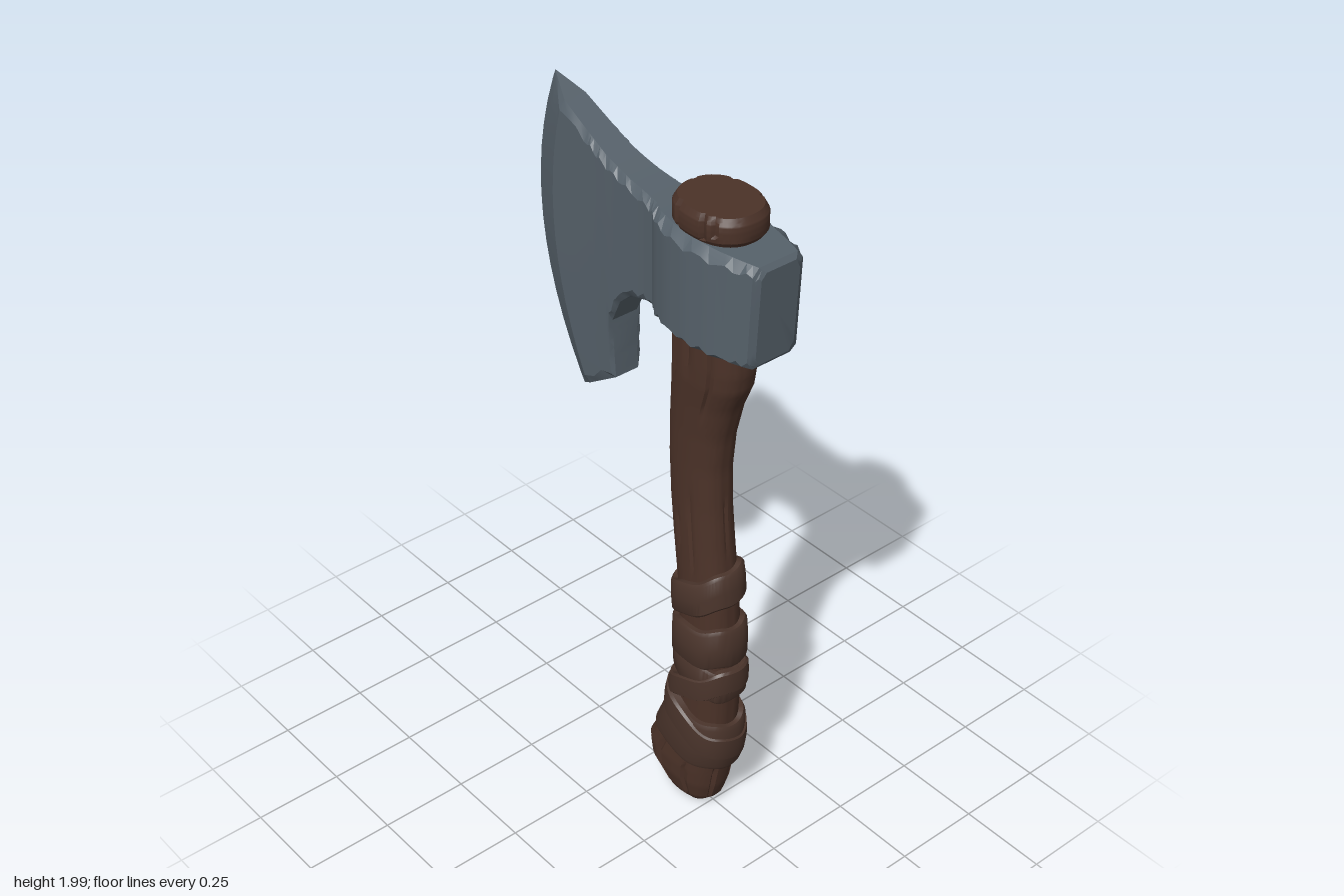
import * as THREE from 'three';
import { toCreasedNormals } from 'three/addons/utils/BufferGeometryUtils.js';

const metal = new THREE.MeshStandardMaterial({ color: 0x56616a });
metal.name = 'dark steel';
const wood = new THREE.MeshStandardMaterial({ color: 0x4b3228 });
wood.name = 'brown wood';
const leather = new THREE.MeshStandardMaterial({ color: 0x4a342b });
leather.name = 'brown leather';

const lerp = THREE.MathUtils.lerp;

// Skin a list of closed rings, optionally closing both ends with a fan
function loft(rings, crease, capped = true) {
  const n = rings[0].length, pos = [], index = [];
  rings.forEach(r => r.forEach(p => pos.push(...p)));
  for (let i = 0; i < rings.length - 1; i++) {
    for (let j = 0; j < n; j++) {
      const k = (j + 1) % n;
      const a = i * n + j, b = i * n + k, c = b + n, d = a + n;
      index.push(a, d, b, b, d, c);
    }
  }
  if (capped) {
    [0, rings.length - 1].forEach((r, end) => {
      const centre = [0, 1, 2].map(q => rings[r].reduce((s, p) => s + p[q], 0) / n);
      const m = pos.length / 3;
      pos.push(...centre);
      for (let j = 0; j < n; j++) {
        const a = r * n + j, b = r * n + (j + 1) % n;
        index.push(m, end ? b : a, end ? a : b);
      }
    });
  }
  const g = new THREE.BufferGeometry();
  g.setAttribute('position', new THREE.Float32BufferAttribute(pos, 3));
  g.setIndex(index);
  return toCreasedNormals(g, crease);
}

// Insert evenly spaced rows between the given rows
function subdivide(rows, steps) {
  const out = [];
  for (let i = 0; i < rows.length - 1; i++)
    for (let s = 0; s < steps; s++)
      out.push(rows[i].map((v, q) => lerp(v, rows[i + 1][q], s / steps)));
  out.push(rows[rows.length - 1]);
  return out;
}

// Handle stations: left x, left y, right x, right y, half depth
const stations = [
  [0.13, 0.022, 0.235, 0.008, 0.045], [0.085, 0.04, 0.262, 0.035, 0.065],
  [0.03, 0.1, 0.28, 0.09, 0.08], [0.022, 0.15, 0.29, 0.14, 0.083],
  [0.05, 0.205, 0.3, 0.19, 0.08], [0.095, 0.265, 0.305, 0.25, 0.073],
  [0.12, 0.35, 0.31, 0.33, 0.07], [0.135, 0.45, 0.315, 0.44, 0.07],
  [0.14, 0.6, 0.31, 0.6, 0.068], [0.13, 0.75, 0.303, 0.75, 0.066],
  [0.11, 0.9, 0.285, 0.9, 0.064], [0.096, 1.02, 0.274, 1.02, 0.062],
  [0.09, 1.15, 0.27, 1.15, 0.063], [0.091, 1.25, 0.28, 1.25, 0.065],
  [0.097, 1.35, 0.305, 1.35, 0.07], [0.1, 1.42, 0.335, 1.42, 0.075],
  [0.1, 1.47, 0.343, 1.47, 0.076], [0.1, 1.56, 0.343, 1.56, 0.076],
  [0.11, 1.7, 0.34, 1.7, 0.076], [0.12, 1.835, 0.345, 1.835, 0.088],
  [0.115, 1.85, 0.355, 1.85, 0.097], [0.115, 1.89, 0.355, 1.89, 0.097],
  [0.127, 1.91, 0.343, 1.91, 0.087],
];
const SEG = 64;

// Carved grooves and chips: ring index, from y, to y, relative depth
const grooves = [
  [12, 0, 0.2, 0.1], [19, 0, 0.24, 0.1], [25, 0.03, 0.2, 0.08], [3, 0, 0.2, 0.08],
  [38, 0, 0.2, 0.08], [45, 0, 0.24, 0.1], [52, 0, 0.2, 0.1], [60, 0.02, 0.17, 0.08],
  [14, 0.8, 1.1, 0.08], [19, 0.84, 1.02, 0.08], [11, 1.3, 1.62, 0.09], [17, 1.42, 1.62, 0.1],
  [22, 1.38, 1.62, 0.07], [46, 0.84, 1.12, 0.08], [50, 1.25, 1.62, 0.1], [43, 1.4, 1.62, 0.1],
  [0, 0.85, 1.1, 0.05], [32, 1.05, 1.4, 0.06],
  [13, 1.845, 1.95, 0.1], [20, 1.84, 1.95, 0.12], [10, 1.86, 1.95, 0.07],
  [44, 1.845, 1.95, 0.1], [53, 1.84, 1.95, 0.12], [33, 1.86, 1.95, 0.06],
];

// Slightly squared oval
function oval(a) {
  const f = v => Math.sign(v) * Math.abs(v) ** 0.86;
  return [f(Math.cos(a)), f(Math.sin(a))];
}

function makeHandle() {
  const rings = subdivide(stations, 5).map(([xl, yl, xr, yr, rz]) =>
    Array.from({ length: SEG }, (_, j) => {
      const [c, s] = oval(j / SEG * Math.PI * 2);
      const y = lerp(yl, yr, (c + 1) / 2);
      let k = 1;
      grooves.forEach(([g, y0, y1, depth]) => {
        if (g === j && y >= y0 && y <= y1) {
          const fade = Math.min(1, (y1 - y) / 0.06, y0 > 0 && y0 < 1.8 ? (y - y0) / 0.06 : 1);
          k -= depth * fade;
        }
      });
      return [(xl + xr) / 2 + c * k * (xr - xl) / 2, y, s * rz * k];
    }));
  return loft(rings, 0.6);
}

// Value of a station column at a height, using the given height column
function sample(y, yCol, col) {
  let i = 0;
  while (i < stations.length - 2 && stations[i + 1][yCol] < y) i++;
  const a = stations[i], b = stations[i + 1];
  return lerp(a[col], b[col], THREE.MathUtils.clamp((y - a[yCol]) / (b[yCol] - a[yCol]), 0, 1));
}

// Leather band hugging the handle, tilted sideways and front to back
function makeBand({ y, h, tilt, lean = 0, thick = 0.018 }) {
  const profile = [[-0.012, -0.5], [thick * 0.7, -0.5], [thick, -0.42], [thick * 1.1, 0],
    [thick, 0.42], [thick * 0.7, 0.5], [-0.012, 0.5]];
  const rings = profile.map(([out, v]) => Array.from({ length: SEG }, (_, j) => {
    const a = j / SEG * Math.PI * 2, [c, s] = oval(a);
    const wobble = 0.004 * Math.sin(a * 5 + y * 40);
    const py = y + tilt * c + lean * s + v * h + wobble;
    const xl = sample(py, 1, 0), xr = sample(py, 3, 2), rz = sample(py, 3, 4);
    return [(xl + xr) / 2 + c * ((xr - xl) / 2 + out), py, s * (rz + out)];
  }));
  return loft(rings, 0.6, false);
}

// Head columns from cutting edge to poll: bottom x, y, top x, y, sideways bow, half thickness
const columns = [
  [-0.285, 1.13, -0.375, 2, -0.113, 0.001], [-0.22, 1.176, -0.3, 1.958, -0.08, 0.043],
  [-0.11, 1.25, -0.205, 1.912, -0.05, 0.048], [-0.115, 1.34, -0.17, 1.896, -0.02, 0.05],
  [-0.118, 1.42, -0.135, 1.88, 0, 0.052], [-0.085, 1.49, -0.09, 1.867, 0, 0.054],
  [-0.04, 1.53, -0.04, 1.855, 0, 0.057], [0.03, 1.55, 0.03, 1.845, 0, 0.062],
  [0.07, 1.552, 0.07, 1.842, 0, 0.069], [0.105, 1.55, 0.105, 1.84, 0, 0.091],
  [0.165, 1.55, 0.165, 1.84, 0, 0.111], [0.24, 1.55, 0.24, 1.839, 0, 0.12],
  [0.32, 1.55, 0.32, 1.837, 0, 0.112], [0.38, 1.55, 0.385, 1.835, 0, 0.095],
  [0.42, 1.552, 0.433, 1.833, 0, 0.078], [0.43, 1.565, 0.444, 1.82, 0, 0.06],
];

function makeHead() {
  const rings = subdivide(columns, 3).map(([bx, by, tx, ty, bow, h], i) => {
    const len = ty - by;
    const side = face => {
      // Worn chamfers of uneven width along the upper and lower edges
      const lo = (0.02 + 0.007 * Math.sin(i * 2.7 + face)) / len;
      const hi = 1 - (0.02 + 0.007 * Math.sin(i * 1.9 + face * 2)) / len;
      const vs = [0, lo];
      for (let q = 1; q < 12; q++) vs.push(lerp(lo, hi, q / 12));
      vs.push(hi, 1);
      return vs.map((v, q) => [
        lerp(bx, tx, v) + bow * 4 * v * (1 - v),
        lerp(by, ty, v),
        face * h * (q === 0 || q === vs.length - 1 ? 0.76 : 1),
      ]);
    };
    return [...side(1), ...side(-1).reverse()];
  });
  return loft(rings, 0.34);
}

export function createModel() {
  const model = new THREE.Group();
  model.name = 'axe';
  const add = (name, geometry, material, parent = model) => {
    const mesh = new THREE.Mesh(geometry, material);
    mesh.name = name;
    parent.add(mesh);
  };

  add('axeHead', makeHead(), metal);
  add('handle', makeHandle(), wood);

  // Overlapping grip wraps
  const grip = new THREE.Group();
  grip.name = 'gripWraps';
  model.add(grip);
  [
    { y: 0.755, h: 0.1, tilt: 0.045, lean: -0.01 },
    { y: 0.6, h: 0.12, tilt: 0.012 },
    { y: 0.515, h: 0.1, tilt: -0.035, thick: 0.015 },
    { y: 0.45, h: 0.075, tilt: 0.05, thick: 0.02 },
    { y: 0.285, h: 0.16, tilt: -0.025, thick: 0.019 },
    { y: 0.315, h: 0.08, tilt: -0.06, lean: 0.01, thick: 0.025 },
  ].forEach((band, i) => add('gripWrap' + (i + 1), makeBand(band), leather, grip));

  return model;
}
